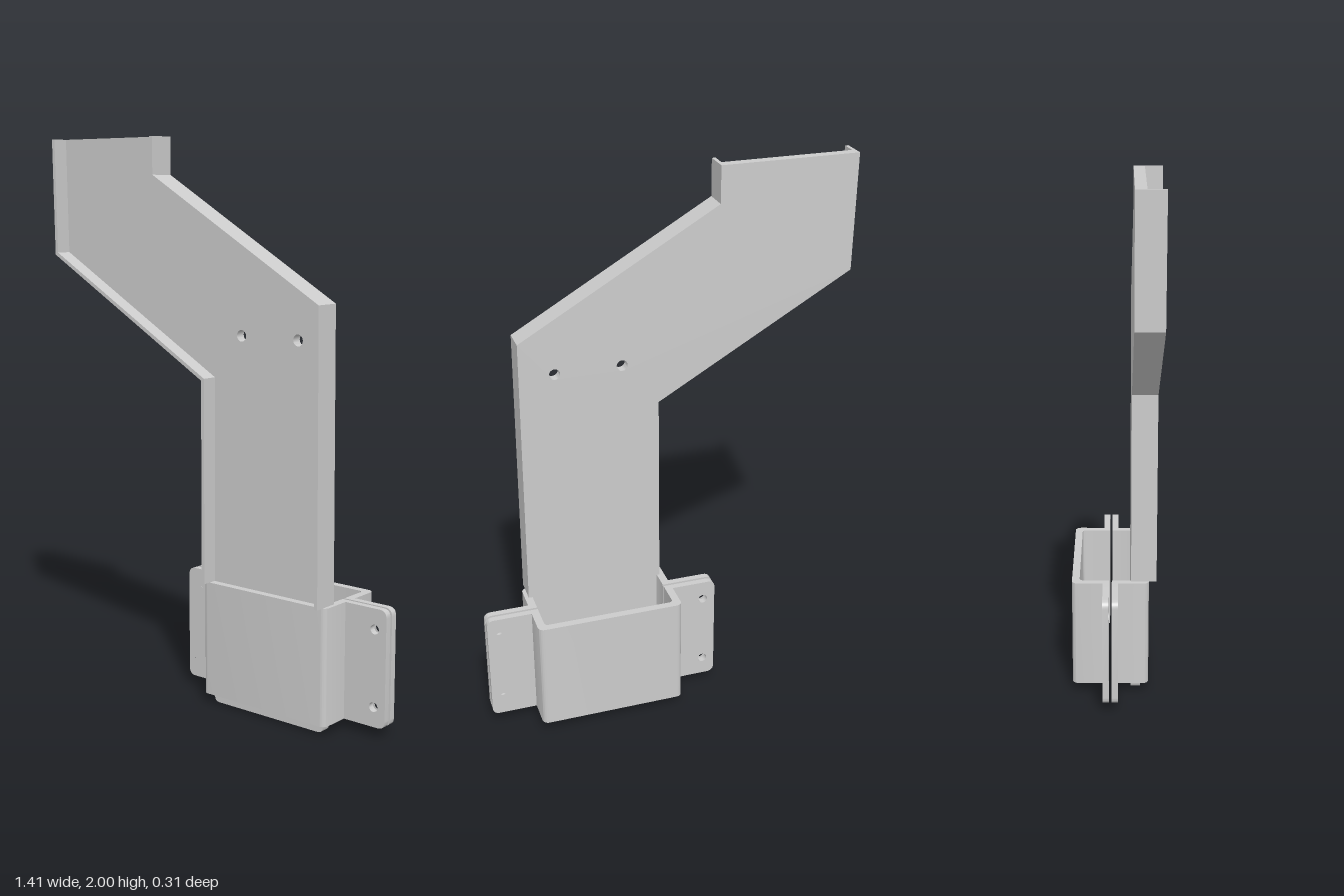
import * as THREE from 'three';
import { toCreasedNormals } from 'three/addons/utils/BufferGeometryUtils.js';

const material = new THREE.MeshStandardMaterial({ color: 0xcccccc });

function mesh(name, geometry) {
  const m = new THREE.Mesh(toCreasedNormals(geometry, 0.6), material);
  m.name = name;
  return m;
}

function extrude(shape, depth) {
  return new THREE.ExtrudeGeometry(shape, { depth, bevelEnabled: false, curveSegments: 8 });
}

function polygon(points) {
  return new THREE.Shape(points.map(([x, y]) => new THREE.Vector2(x, y)));
}

function addHole(shape, x, y, r) {
  shape.holes.push(new THREE.Path().absarc(x, y, r, 0, Math.PI * 2, true));
}

// Shifts a polyline sideways by t (to the left of its direction) with mitred corners
function offset(points, t) {
  const p = points.map(([x, y]) => new THREE.Vector2(x, y));
  const normal = (a, b) => new THREE.Vector2(a.y - b.y, b.x - a.x).normalize();
  return p.map((v, i) => {
    const n1 = i > 0 ? normal(p[i - 1], v) : normal(v, p[i + 1]);
    const n2 = i < p.length - 1 ? normal(v, p[i + 1]) : n1;
    const m = n1.clone().add(n2).normalize();
    const k = t / m.dot(n1);
    return [v.x + m.x * k, v.y + m.y * k];
  });
}

// One half of the clamp, facing +z, with its parting plane at z = 0
function clampHalf(name) {
  const half = new THREE.Group();
  half.name = name;
  const top = 0.447, height = 0.412, bottom = top - height;
  const w = 0.268, d = 0.1425, t = 0.028, gap = 0.005, r = 0.022, ri = 0.014;

  // U-shaped channel with rounded corners
  const u = new THREE.Shape();
  u.moveTo(-w, gap);
  u.lineTo(-w + t, gap);
  u.lineTo(-w + t, d - t - ri);
  u.absarc(-w + t + ri, d - t - ri, ri, Math.PI, Math.PI / 2, true);
  u.absarc(w - t - ri, d - t - ri, ri, Math.PI / 2, 0, true);
  u.lineTo(w - t, gap);
  u.lineTo(w, gap);
  u.lineTo(w, d - r);
  u.absarc(w - r, d - r, r, 0, Math.PI / 2, false);
  u.absarc(-w + r, d - r, r, Math.PI / 2, Math.PI, false);
  u.closePath();
  half.add(mesh('clampChannel', extrude(u, height).rotateX(Math.PI / 2).translate(0, top, 0)));

  // Bolt flanges on both sides
  for (const side of [-1, 1]) {
    const e = 0.433, c = 0.028;
    const f = new THREE.Shape();
    f.moveTo(side * w, bottom);
    f.lineTo(side * (e - c), bottom);
    f.quadraticCurveTo(side * e, bottom, side * e, bottom + c);
    f.lineTo(side * e, top - c);
    f.quadraticCurveTo(side * e, top, side * (e - c), top);
    f.lineTo(side * w, top);
    f.closePath();
    for (const y of [0.105, 0.375]) addHole(f, side * 0.387, y, 0.017);
    half.add(mesh('boltFlange', extrude(f, 0.0235).translate(0, 0, gap)));
  }
  return half;
}

export function createModel() {
  const group = new THREE.Group();
  const back = 0.063, plateFront = 0.099, front = 0.157, wall = 0.013;

  // Edges of the cranked arm, both running upward
  const leftEdge = [[0.018, 0.447], [0.018, 1.168], [-0.697, 1.58], [-0.705, 2]];
  const rightEdge = [[0.522, 0.447], [0.515, 1.452], [-0.203, 1.868], [-0.203, 2]];

  // Back plate of the arm
  const plate = polygon([...rightEdge, ...[...leftEdge].reverse()]);
  for (const x of [0.15, 0.39]) addHole(plate, x, 1.327, 0.02);
  group.add(mesh('armPlate', extrude(plate, plateFront - back).translate(0, 0, back)));

  // Side walls standing forward from the plate, open at the top
  for (const [name, edge, t] of [['outerWall', rightEdge, wall], ['innerWall', leftEdge, -wall]]) {
    const band = offset(edge, t);
    band[0][1] = 0.447;
    band[band.length - 1][1] = 2;
    const shape = polygon([...edge, ...band.reverse()]);
    group.add(mesh(name, extrude(shape, front - plateFront).translate(0, 0, plateFront)));
  }

  // Tongue of the plate that passes down through the clamp
  const tongue = new THREE.Shape();
  tongue.moveTo(0.03, 0.447);
  tongue.lineTo(0.03, 0.022);
  tongue.quadraticCurveTo(0.03, 0, 0.052, 0);
  tongue.lineTo(0.486, 0);
  tongue.quadraticCurveTo(0.508, 0, 0.508, 0.022);
  tongue.lineTo(0.508, 0.447);
  tongue.closePath();
  group.add(mesh('tongue', extrude(tongue, plateFront - back).translate(0, 0, back)));

  // Two matching clamp halves
  const frontHalf = clampHalf('frontClamp');
  const backHalf = clampHalf('backClamp');
  backHalf.rotation.y = Math.PI;
  for (const h of [frontHalf, backHalf]) {
    h.position.set(0.268, 0, -0.0135);
    group.add(h);
  }
  return group;
}
